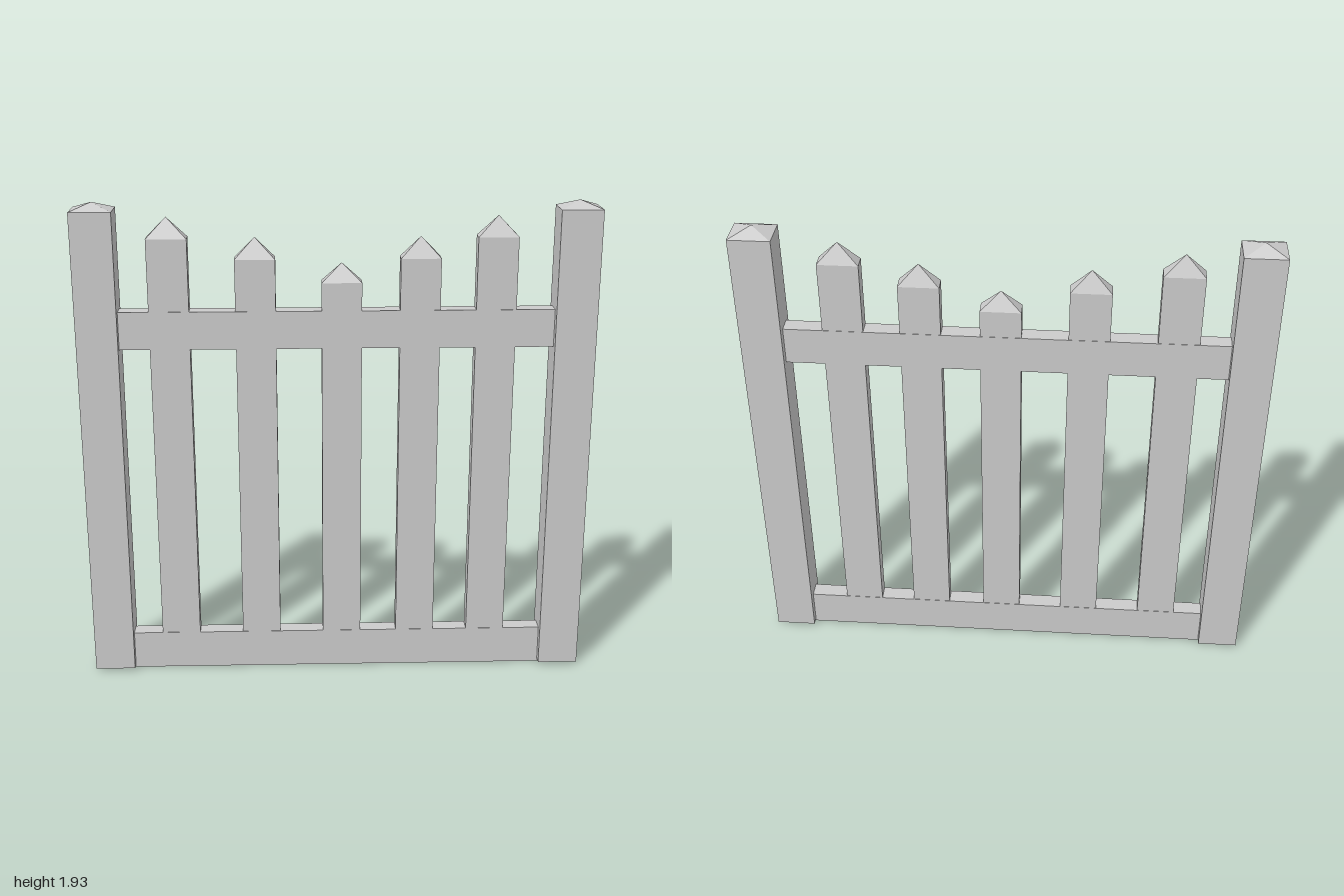
import * as THREE from 'three';

const material = new THREE.MeshStandardMaterial({ color: 0xcccccc, flatShading: true });

// Rectangular upright closed at the bottom and topped by a low pyramid
function upright(name, x, width, depth, bottom, shoulder, apex) {
  const r = Math.SQRT1_2;
  const profile = [[0, bottom], [r, bottom], [r, shoulder], [0, apex]]
    .map(([px, py]) => new THREE.Vector2(px, py));
  const geometry = new THREE.LatheGeometry(profile, 4, Math.PI / 4).toNonIndexed();
  geometry.scale(width, 1, depth);
  geometry.computeVertexNormals();
  const mesh = new THREE.Mesh(geometry, material);
  mesh.name = name;
  mesh.position.x = x;
  return mesh;
}

// Horizontal board between two heights
function rail(name, x0, x1, y0, y1) {
  const mesh = new THREE.Mesh(new THREE.BoxGeometry(x1 - x0, y1 - y0, 0.065), material);
  mesh.name = name;
  mesh.position.set((x0 + x1) / 2, (y0 + y1) / 2, 0);
  return mesh;
}

export function createModel() {
  const fence = new THREE.Group();
  fence.name = 'picketFence';

  // End posts with shallow caps
  for (const side of [-1, 1]) {
    const name = side < 0 ? 'rightPost' : 'leftPost';
    fence.add(upright(name, side * 0.92, 0.16, 0.133, 0.012, 1.903, 1.932));
  }

  // Pickets dipping towards the middle: x, shoulder height, apex height
  const pickets = [
    [-0.645, 1.795, 1.875],
    [-0.313, 1.715, 1.797],
    [0.018, 1.623, 1.697],
    [0.32, 1.715, 1.797],
    [0.613, 1.795, 1.875],
  ];
  pickets.forEach(([x, shoulder, apex], i) => {
    fence.add(upright(`picket${i + 1}`, x, 0.155, 0.062, 0.005, shoulder, apex));
  });

  // Rails, tucked into the posts
  fence.add(rail('bottomRail', -0.88, 0.91, 0, 0.157));
  fence.add(rail('topRail', -0.88, 0.91, 1.367, 1.515));

  return fence;
}
